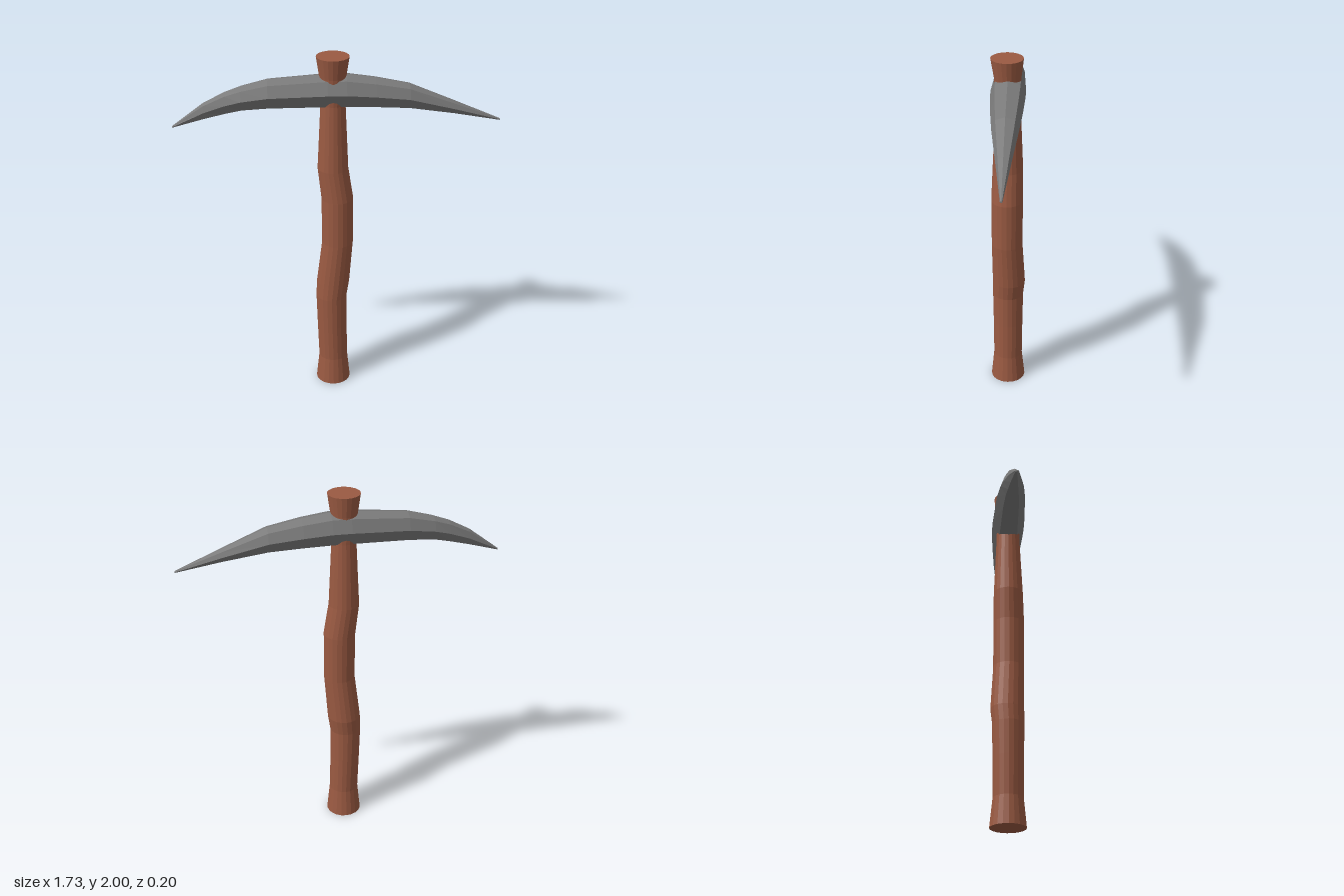
import * as THREE from 'three';

// Skins a list of closed rings (equal point counts) and caps both ends.
function loft(rings) {
  const n = rings[0].length, pos = [];
  const tri = (...pts) => pts.forEach(p => pos.push(p.x, p.y, p.z));
  for (let i = 0; i < rings.length - 1; i++) {
    const a = rings[i], b = rings[i + 1];
    for (let j = 0; j < n; j++) {
      const k = (j + 1) % n;
      tri(a[j], b[j], a[k]);
      tri(a[k], b[j], b[k]);
    }
  }
  const centre = ring => ring.reduce((s, p) => s.add(p), new THREE.Vector3()).divideScalar(n);
  const first = rings[0], last = rings[rings.length - 1];
  const c0 = centre(first), c1 = centre(last);
  for (let j = 0; j < n; j++) {
    const k = (j + 1) % n;
    tri(c0, first[j], first[k]);
    tri(c1, last[k], last[j]);
  }
  const geo = new THREE.BufferGeometry();
  geo.setAttribute('position', new THREE.Float32BufferAttribute(pos, 3));
  geo.computeVertexNormals();
  return geo;
}

function part(name, rings, color) {
  const mesh = new THREE.Mesh(loft(rings), new THREE.MeshStandardMaterial({ color, flatShading: true }));
  mesh.name = name;
  return mesh;
}

export function createModel() {
  const group = new THREE.Group();
  group.name = 'pickaxe';

  // Crooked wooden handle: [y, centre x, centre z, radius]
  const sides = 20;
  const handle = [
    [0, -0.022, 0, 0.098], [0.16, -0.022, 0.001, 0.082], [0.38, -0.028, 0.001, 0.084],
    [0.57, -0.031, 0.001, 0.087], [0.66, -0.022, -0.004, 0.092], [0.92, 0.003, 0.005, 0.086],
    [1.19, 0.002, 0.005, 0.087], [1.37, -0.022, 0.002, 0.083], [1.74, -0.021, 0, 0.066],
    [1.89, -0.022, 0.003, 0.071], [2, -0.022, 0.006, 0.087],
  ].map(([y, cx, cz, r]) => Array.from({ length: sides }, (_, i) => {
    const a = i / sides * Math.PI * 2;
    return new THREE.Vector3(cx + r * Math.cos(a), y, cz + r * Math.sin(a));
  }));
  group.add(part('handle', handle, 0x9a5a42));

  // Head section: [share of half width, share of height], from the top round by the back
  const section = [[0, 1], [-0.72, 0.89], [-1, 0.5], [-0.55, 0.08], [0, 0], [0.55, 0.08], [1, 0.5], [0.72, 0.89]];
  // Curved head stations: [x, bottom y, top y, half width]
  const head = [
    [-0.867, 1.617, 1.626, 0.007], [-0.7, 1.662, 1.752, 0.034], [-0.585, 1.691, 1.812, 0.051],
    [-0.5, 1.71, 1.842, 0.064], [-0.36, 1.72, 1.878, 0.079], [-0.05, 1.724, 1.902, 0.093],
    [0.05, 1.724, 1.902, 0.092], [0.2, 1.72, 1.881, 0.084], [0.38, 1.711, 1.845, 0.069],
    [0.62, 1.676, 1.745, 0.038], [0.865, 1.632, 1.641, 0.006],
  ].map(([x, lo, hi, w]) => section.map(([u, v]) =>
    new THREE.Vector3(x, lo + (hi - lo) * v, u * w - 0.01 * x)));
  group.add(part('head', head, 0x7a7a7a));

  return group;
}
